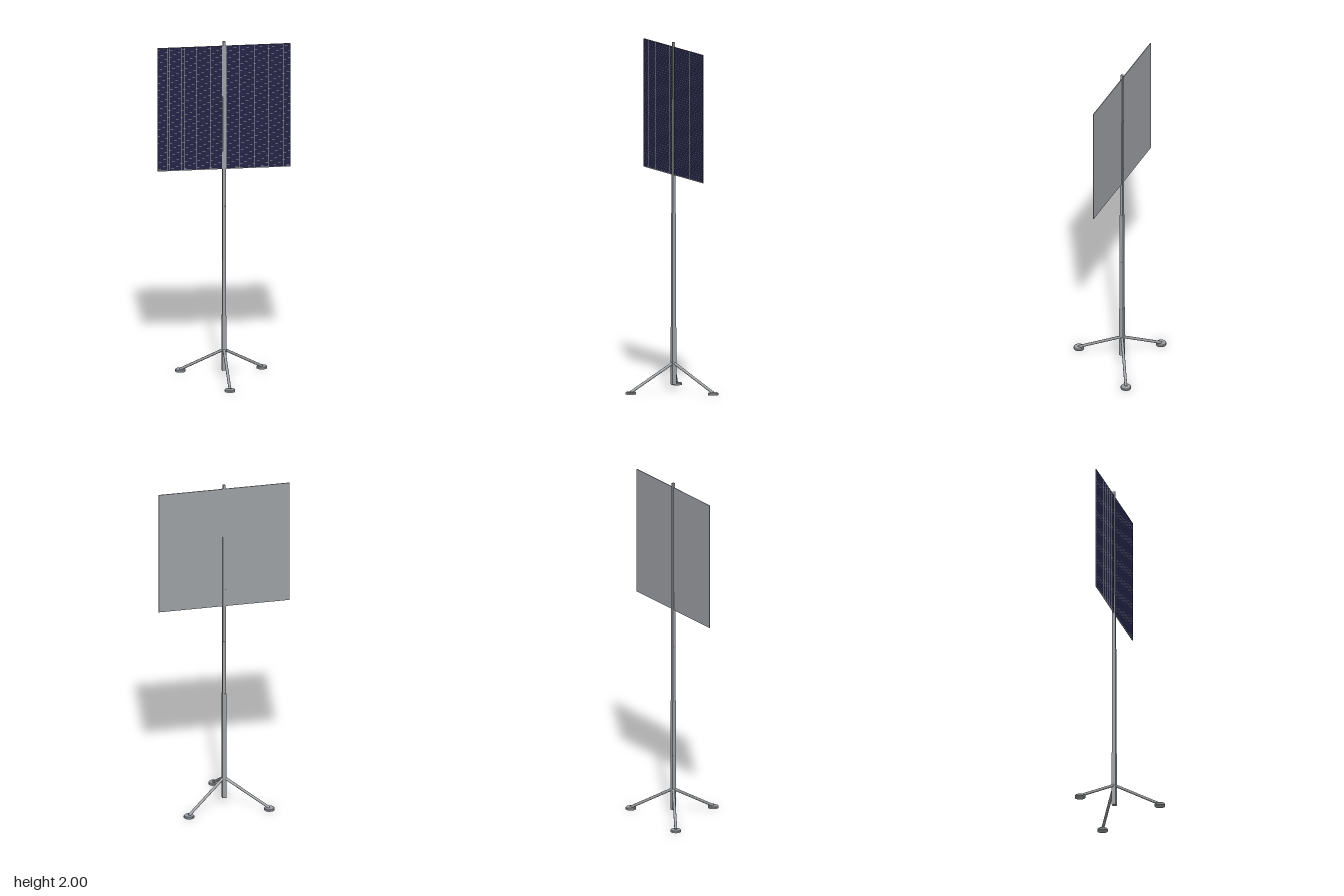
import * as THREE from 'three';
import { mergeGeometries } from 'three/addons/utils/BufferGeometryUtils.js';

const AXIS_Z = -0.068; // mast axis, off centre because of the tripod

export function createModel() {
  const model = new THREE.Group();
  model.name = 'mastPanel';
  const metal = new THREE.MeshStandardMaterial({ color: 0x9da0a4 });
  metal.name = 'greyMetal';
  const navy = new THREE.MeshStandardMaterial({ color: 0x232345 });
  navy.name = 'navyCells';

  const rig = new THREE.Group();
  rig.name = 'rig';
  rig.position.z = AXIS_Z;
  model.add(rig);

  const add = (name, geometry, material, x = 0, y = 0, z = 0, parent = rig) => {
    const mesh = new THREE.Mesh(geometry, material);
    mesh.name = name;
    mesh.position.set(x, y, z);
    parent.add(mesh);
    return mesh;
  };

  // Telescopic square mast, each section narrower than the one below
  const sections = 6, bottom = 0.04, step = (2 - bottom) / sections;
  for (let i = 0; i < sections; i++) {
    const w = 0.024 - i * 0.002;
    add('mastSection' + (i + 1), new THREE.BoxGeometry(w, step, w), metal, 0, bottom + step * (i + 0.5));
  }

  // Panel: grey backing sheet with a navy face
  const W = 0.76, y0 = 1.24, y1 = 1.975, H = y1 - y0, yc = (y0 + y1) / 2;
  add('panelBacking', new THREE.BoxGeometry(W, H, 0.004), metal, 0, yc);
  add('panelFace', new THREE.PlaneGeometry(W, H - 0.006), navy, 0, yc + 0.002, 0.0024);

  // Hairline grid between the cells
  const line = 0.0006, columns = 55, rows = 53, strips = [];
  for (let i = 1; i < columns; i++)
    strips.push(new THREE.PlaneGeometry(line, H).translate(-W / 2 + (W * i) / columns, 0, 0));
  for (let j = 1; j < rows; j++)
    strips.push(new THREE.PlaneGeometry(W, line).translate(0, -H / 2 + (H * j) / rows, 0));
  add('cellGrid', mergeGeometries(strips), metal, 0, yc, 0.0032);

  // Centre strip clamping the panel to the mast
  add('centreStrip', new THREE.BoxGeometry(0.025, H, 0.004), metal, 0, yc, 0.003);

  // Tripod: three sloping tubes with round feet
  const reach = 0.27, top = 0.165, foot = 0.012;
  const profile = [[0, 0], [0.03, 0], [0.03, 0.009], [0.027, 0.013], [0, 0.013]];
  const footShape = new THREE.LatheGeometry(profile.map(p => new THREE.Vector2(...p)), 32).toNonIndexed();
  footShape.computeVertexNormals();
  for (let k = 0; k < 3; k++) {
    const leg = new THREE.Group();
    leg.name = 'tripodLeg' + (k + 1);
    leg.rotation.y = (k * Math.PI * 2) / 3;
    rig.add(leg);
    const tube = add('legTube', new THREE.CylinderGeometry(0.008, 0.008, Math.hypot(reach, top - foot), 16),
      metal, 0, (top + foot) / 2, reach / 2, leg);
    tube.rotation.x = -Math.atan2(reach, top - foot);
    add('footPad', footShape, metal, 0, 0, reach, leg);
  }
  return model;
}
